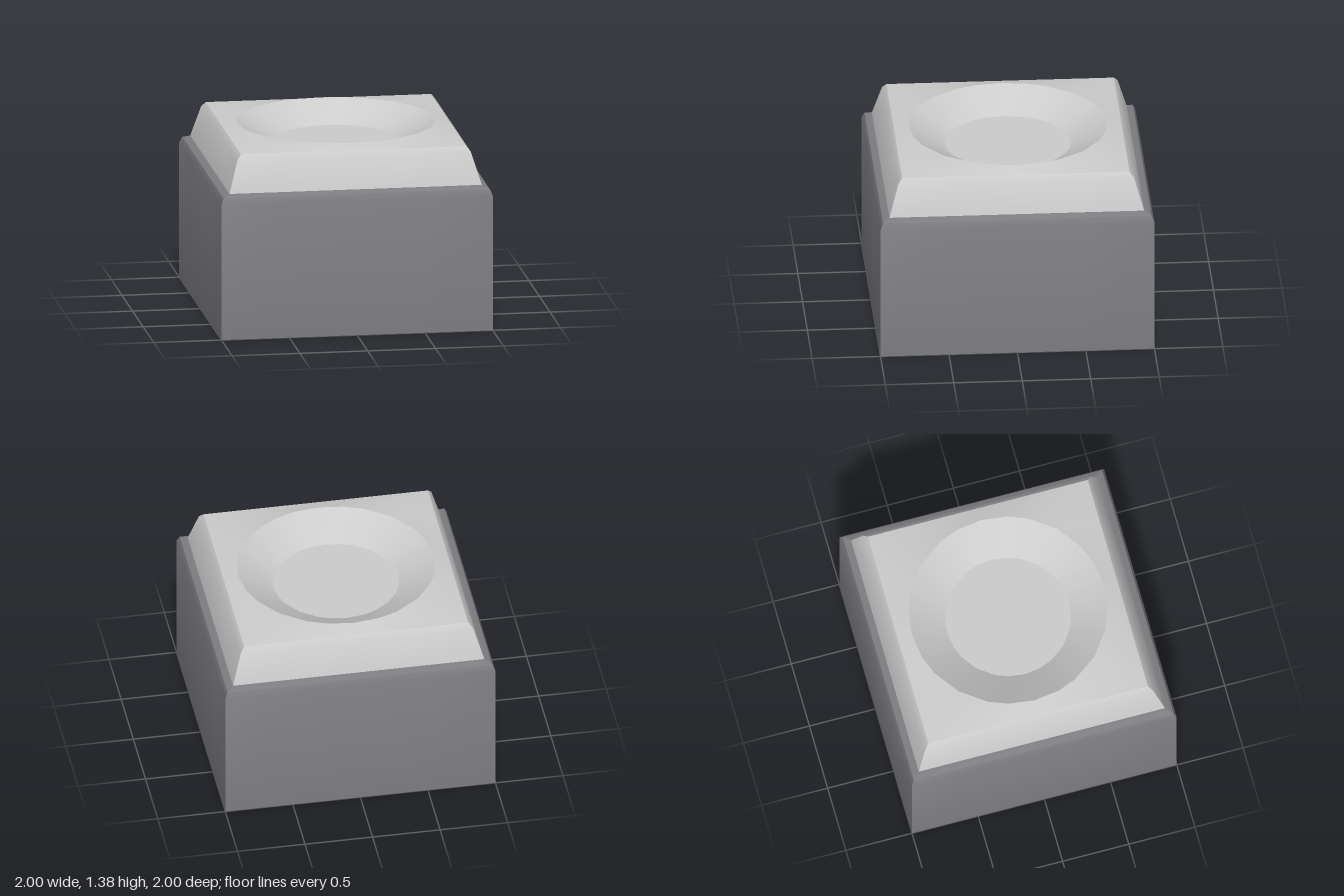
import * as THREE from 'three';
import { toCreasedNormals } from 'three/addons/utils/BufferGeometryUtils.js';

// Directions around the block, with one on every corner
const angles = [];
for (let quarter = 0; quarter < 4; quarter++) {
  for (const a of [0, 15, 27, 45, 63, 75]) angles.push(THREE.MathUtils.degToRad(a + quarter * 90));
}

// Skins a stack of square or round rings; each ring is [half width or radius, y, round?]
function loft(rings) {
  const positions = [];
  const n = angles.length;
  const point = ([size, y, round], j) => {
    const s = Math.sin(angles[j % n]);
    const c = Math.cos(angles[j % n]);
    const k = round ? size : size / Math.max(Math.abs(s), Math.abs(c));
    return new THREE.Vector3(s * k, y, c * k);
  };
  const triangle = (...corners) => corners.forEach((p) => positions.push(p.x, p.y, p.z));
  for (let i = 0; i < rings.length - 1; i++) {
    for (let j = 0; j < n; j++) {
      const a = point(rings[i], j);
      const b = point(rings[i], j + 1);
      const c = point(rings[i + 1], j + 1);
      const d = point(rings[i + 1], j);
      if (rings[i][0] > 0) triangle(a, b, c);
      if (rings[i + 1][0] > 0) triangle(a, c, d);
      // rings that shrink to a point need only one triangle per step
      if (rings[i][0] === 0 && rings[i + 1][0] === 0) continue;
    }
  }
  const geometry = new THREE.BufferGeometry();
  geometry.setAttribute('position', new THREE.Float32BufferAttribute(positions, 3));
  return toCreasedNormals(geometry, 0.46);
}

export function createModel() {
  const group = new THREE.Group();
  group.name = 'dishedButton';

  const add = (name, color, rings) => {
    const mesh = new THREE.Mesh(loft(rings), new THREE.MeshStandardMaterial({ color }));
    mesh.name = name;
    group.add(mesh);
  };

  // Dark square block with a bevelled upper edge
  add('base', 0x7d7d82, [
    [0, 0], [1, 0], [1, 1.01], [0.98, 1.055], [0.93, 1.075], [0, 1.075],
  ]);

  // Tapered cap, rising to a round rim and sinking into a flat-bottomed dish
  add('cap', 0xcccccc, [
    [0.93, 1.075], [0.86, 1.31], [0.83, 1.345],
    [0.725, 1.375, true], [0.46, 1.23, true], [0, 1.23, true],
  ]);

  return group;
}
